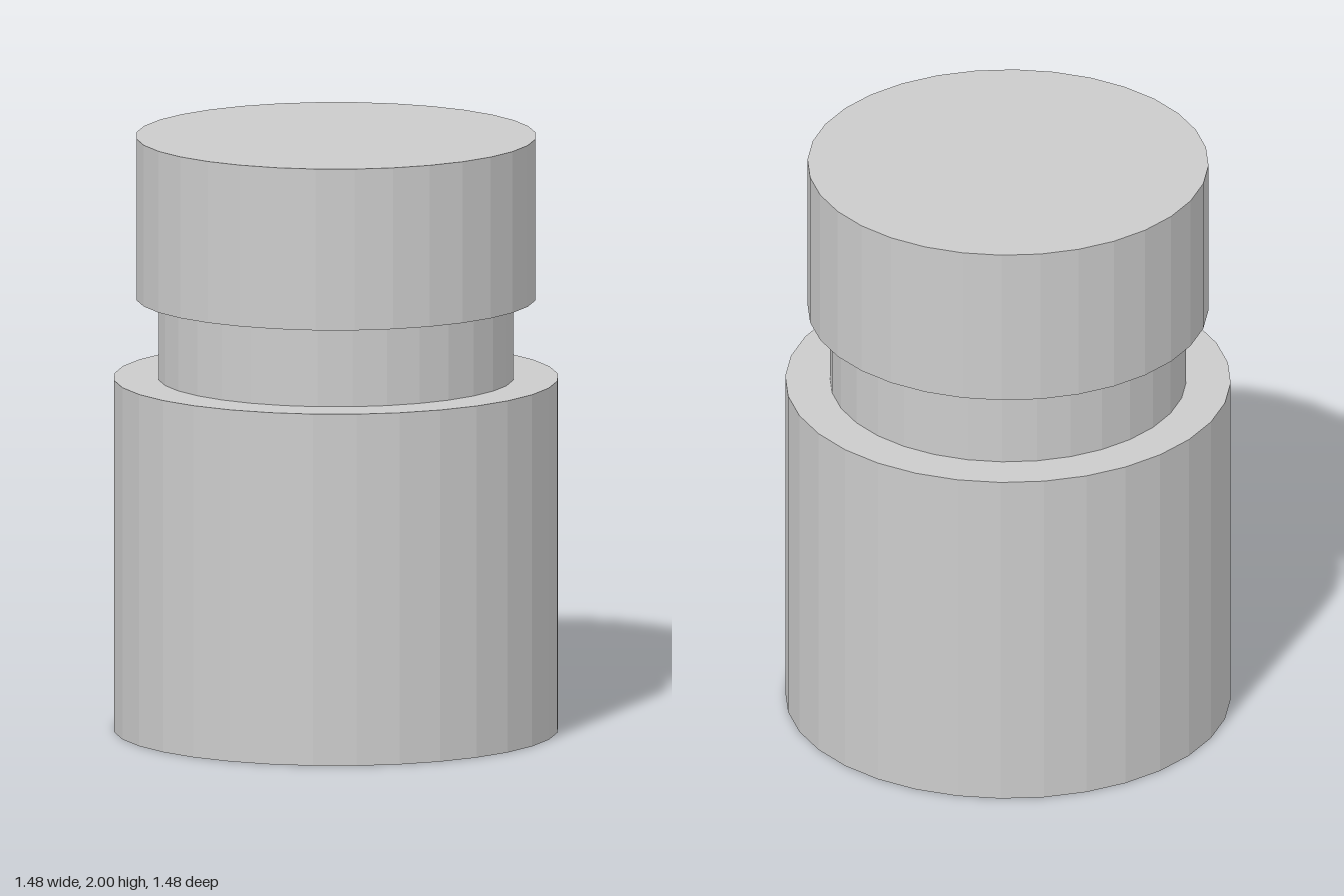
import * as THREE from 'three';

const SIDES = 32;

export function createModel() {
  const group = new THREE.Group();
  const material = new THREE.MeshStandardMaterial({ color: 0xcccccc, flatShading: true });

  // Upright closed cylinder spanning bottom..top
  const addDrum = (name, radius, bottom, top) => {
    const geometry = new THREE.CylinderGeometry(radius, radius, top - bottom, SIDES);
    const mesh = new THREE.Mesh(geometry, material);
    mesh.name = name;
    mesh.position.y = (bottom + top) / 2;
    group.add(mesh);
  };

  addDrum('body', 0.741, 0, 1.186);
  addDrum('neck', 0.593, 1.186, 1.456);
  addDrum('cap', 0.667, 1.456, 2);

  return group;
}
